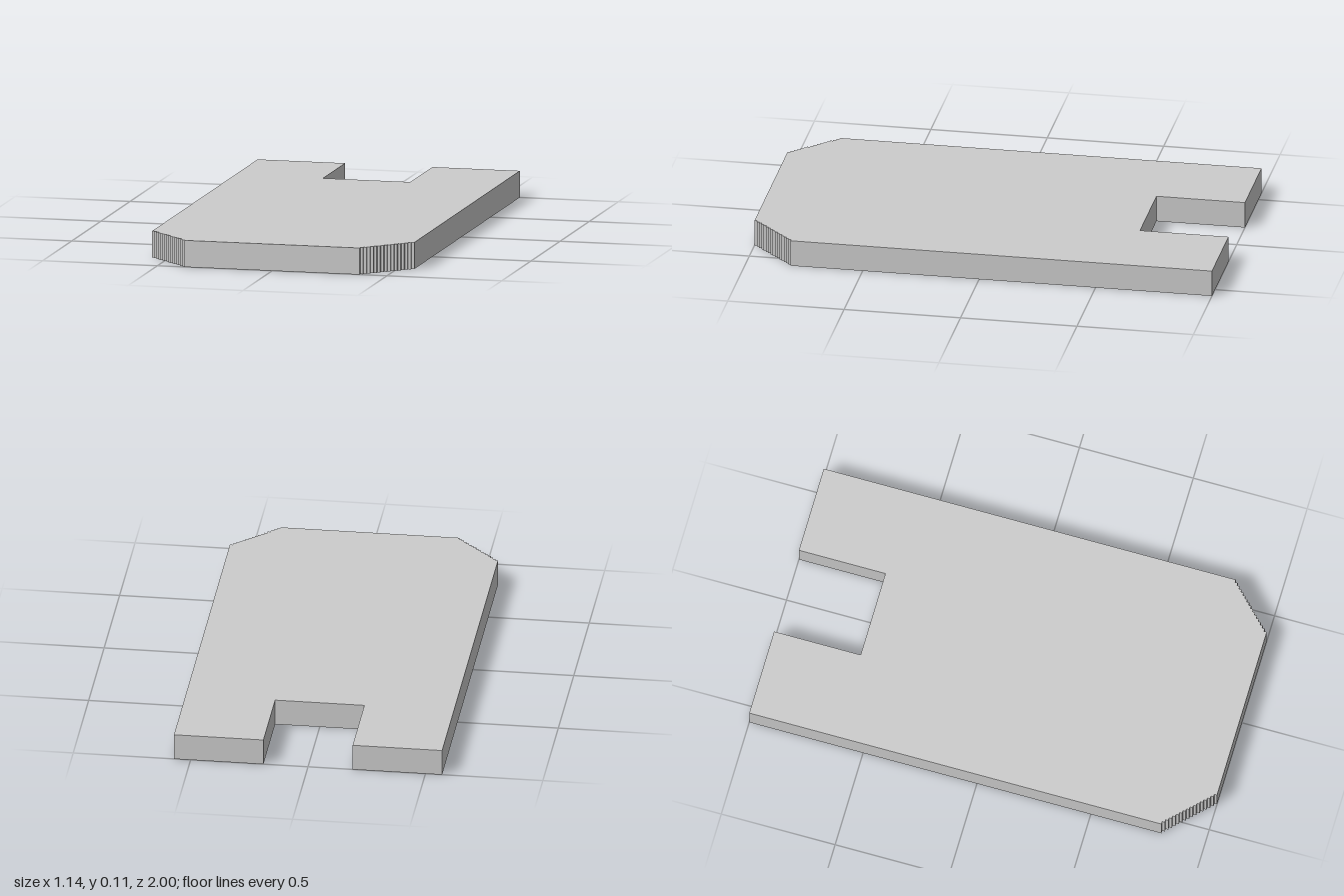
import * as THREE from 'three';

const HALF_WIDTH = 0.571, THICKNESS = 0.114;
const NOTCH_HALF = 0.19, NOTCH_END = -0.62;
const CORNER = 0.19, STEPS = 16;

// Half outline on the +x side as [x, z], from the notch round to the front edge
function halfOutline() {
  const points = [
    [NOTCH_HALF, NOTCH_END],
    [NOTCH_HALF, -1],
    [HALF_WIDTH, -1],
    [HALF_WIDTH, 1 - CORNER],
  ];
  // Cut front corner made of fine steps
  const step = CORNER / STEPS;
  for (let i = 1; i <= STEPS; i++) {
    const x = HALF_WIDTH - i * step;
    points.push([x, 1 - CORNER + (i - 1) * step], [x, 1 - CORNER + i * step]);
  }
  return points;
}

export function createModel() {
  const group = new THREE.Group();
  group.name = 'notchedPlate';

  // Mirror the half outline; shape y is -z so the plate can be laid flat
  const half = halfOutline();
  const mirrored = half.map(([x, z]) => [-x, z]).reverse();
  const shape = new THREE.Shape([...half, ...mirrored].map(([x, z]) => new THREE.Vector2(x, -z)));

  const geometry = new THREE.ExtrudeGeometry(shape, { depth: THICKNESS, bevelEnabled: false });
  geometry.rotateX(-Math.PI / 2);

  const plate = new THREE.Mesh(
    geometry,
    new THREE.MeshStandardMaterial({ color: 0xcccccc, flatShading: true })
  );
  plate.name = 'plate';
  group.add(plate);
  return group;
}
